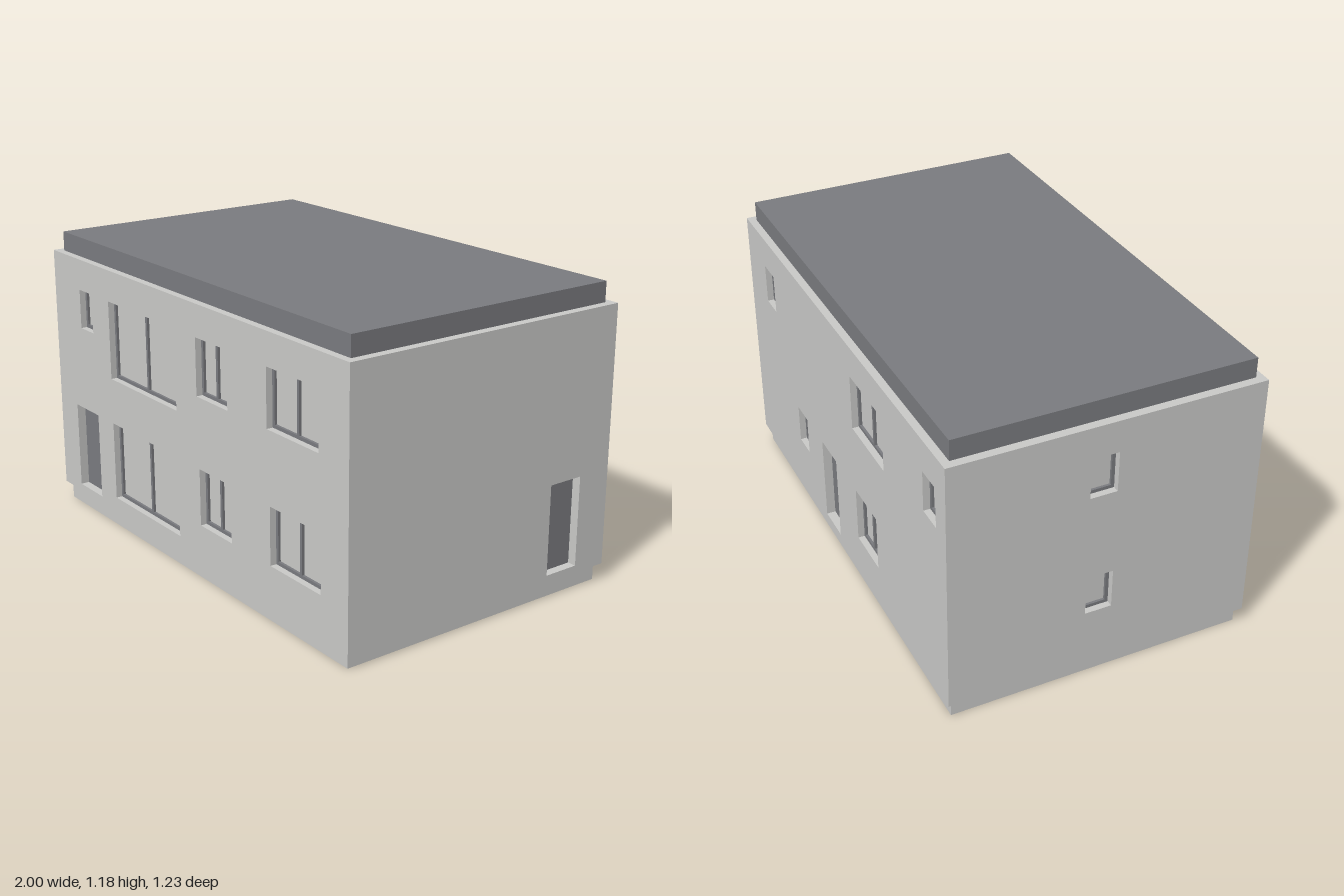
import * as THREE from 'three';

const wallMat = new THREE.MeshStandardMaterial({ name: 'light grey render', color: 0xc9c9c7 });
const darkMat = new THREE.MeshStandardMaterial({ name: 'dark grey', color: 0x7a7b7f });

const HALF_W = 1, HALF_D = 0.616, WALL_BOTTOM = 0.07, WALL_TOP = 1.1;
const THICK = 0.04; // wall thickness, also the depth of each recess
const FRAME = 0.013; // width of the window frame bars

// Openings: [left, right, bottom, top, kind], as seen facing each wall
const FRONT = [
  [-0.79, -0.69, 0.81, 0.972, 'single'],
  [-0.555, -0.06, 0.65, 0.972, 'double'],
  [0.085, 0.29, 0.745, 0.972, 'double'],
  [0.535, 0.835, 0.745, 0.972, 'double'],
  [-0.86, -0.68, 0.1, 0.46, 'door'],
  [-0.555, -0.06, 0.135, 0.46, 'double'],
  [0.093, 0.303, 0.232, 0.46, 'double'],
  [0.55, 0.848, 0.232, 0.46, 'double'],
];
const BACK = [
  [-0.795, -0.69, 0.81, 0.972, 'single'],
  [0.155, 0.46, 0.745, 0.972, 'double'],
  [0.815, 0.92, 0.81, 0.972, 'single'],
  [-0.49, -0.385, 0.3, 0.46, 'single'],
  [-0.21, -0.055, 0.1, 0.46, 'door'],
  [0.155, 0.36, 0.232, 0.46, 'double'],
];
const LEFT_SIDE = [[0.32, 0.47, 0.1, 0.46, 'door']];
const RIGHT_SIDE = [
  [-0.077, 0.03, 0.81, 0.972, 'single'],
  [-0.077, 0.03, 0.3, 0.46, 'single'],
];

function rect(PathType, l, r, b, t) {
  const p = new PathType();
  p.moveTo(l, b).lineTo(r, b).lineTo(r, t).lineTo(l, t).closePath();
  return p;
}

function slab(l, r, b, t, holes, depth) {
  const shape = rect(THREE.Shape, l, r, b, t);
  shape.holes = holes.map((h) => rect(THREE.Path, h[0], h[1], h[2], h[3]));
  return new THREE.ExtrudeGeometry(shape, { depth, bevelEnabled: false });
}

function addMesh(parent, name, geometry, material, x = 0, y = 0, z = 0) {
  const mesh = new THREE.Mesh(geometry, material);
  mesh.name = name;
  mesh.position.set(x, y, z);
  parent.add(mesh);
  return mesh;
}

// One facade: pierced wall with its recessed windows and doors, outward along +z
function makeFacade(name, halfWidth, distance, angle, openings) {
  const facade = new THREE.Group();
  facade.name = name;
  const back = distance - THICK;
  addMesh(facade, 'wall', slab(-halfWidth, halfWidth, WALL_BOTTOM, WALL_TOP, openings, THICK), wallMat, 0, 0, back);

  for (const [l, r, b, t, kind] of openings) {
    const door = kind === 'door';
    const panel = new THREE.BoxGeometry(r - l, t - b, 0.008);
    addMesh(facade, door ? 'door' : 'windowPane', panel, door ? darkMat : wallMat, (l + r) / 2, (b + t) / 2, back);
    if (door) continue;

    // Frame around one or two panes
    const mid = (l + r) / 2, bar = FRAME / 2;
    const lights = kind === 'double'
      ? [[l + FRAME, mid - bar, b + FRAME, t - FRAME], [mid + bar, r - FRAME, b + FRAME, t - FRAME]]
      : [[l + FRAME, r - FRAME, b + FRAME, t - FRAME]];
    addMesh(facade, 'windowFrame', slab(l, r, b, t, lights, 0.014), darkMat, 0, 0, back);
  }
  facade.rotation.y = angle;
  return facade;
}

export function createModel() {
  const house = new THREE.Group();
  house.name = 'house';

  // Recessed plinth and overlapping flat roof
  addMesh(house, 'plinth', new THREE.BoxGeometry(1.95, 0.08, 1.194), wallMat, 0, 0.04, 0);
  addMesh(house, 'roof', new THREE.BoxGeometry(1.932, 0.09, 1.17), darkMat, 0, 1.135, 0);

  // Four walls; the side walls fit between front and back
  const sideHalf = HALF_D - THICK;
  house.add(
    makeFacade('frontFacade', HALF_W, HALF_D, 0, FRONT),
    makeFacade('backFacade', HALF_W, HALF_D, Math.PI, BACK),
    makeFacade('leftFacade', sideHalf, HALF_W, Math.PI / 2, LEFT_SIDE),
    makeFacade('rightFacade', sideHalf, HALF_W, -Math.PI / 2, RIGHT_SIDE),
  );
  return house;
}
